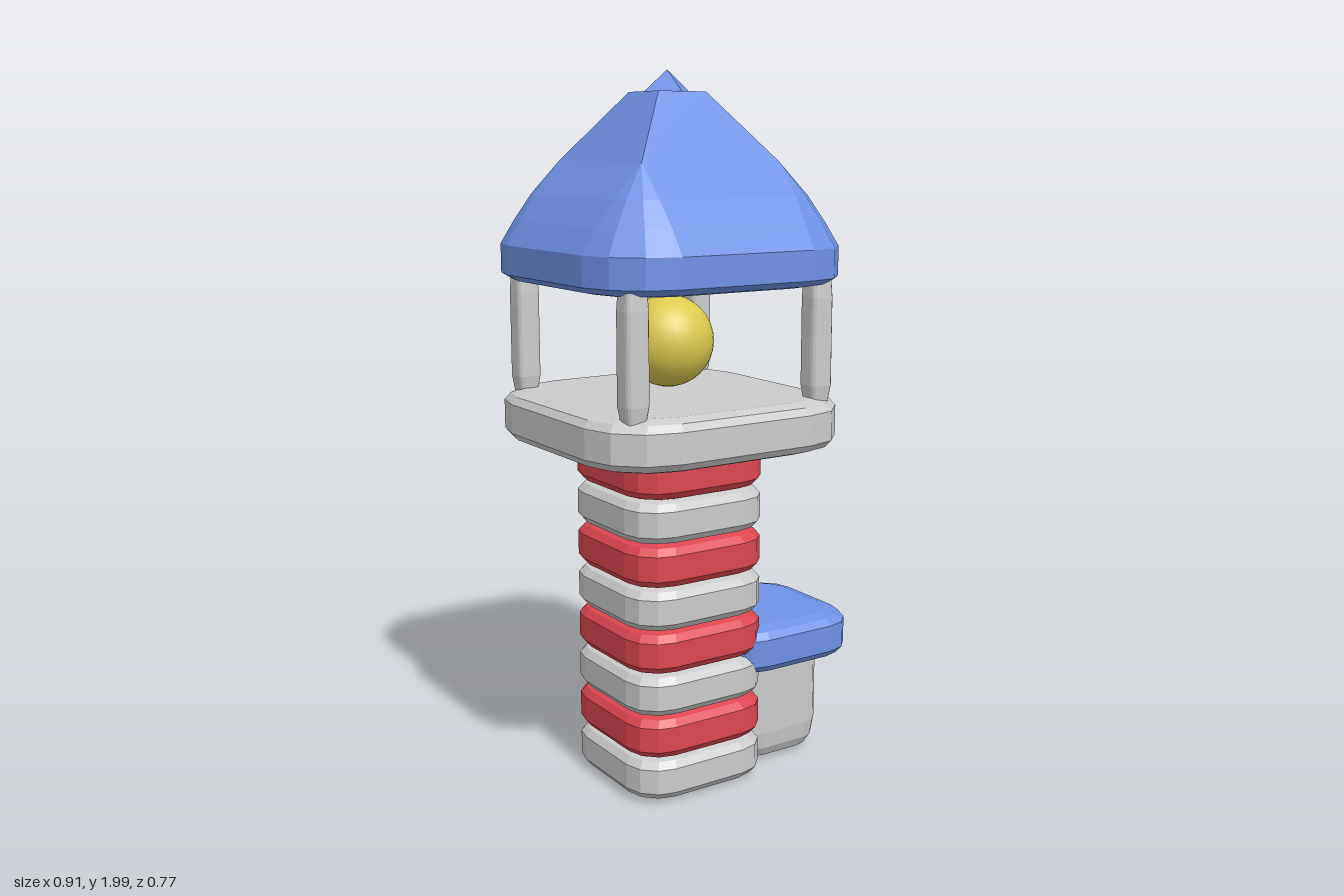
import * as THREE from 'three';

const material = (color) => new THREE.MeshStandardMaterial({ color, flatShading: true });
const grey = material(0xcccccc);
const red = material(0xdc4650);
const blue = material(0x6e92e6);
const yellow = new THREE.MeshStandardMaterial({ color: 0xdccb4e });

// Square outline with corners rounded in three steps; corner is a fraction of half
function ringPoints(half, corner) {
  const r = half * corner, c = half - r, points = [];
  for (let q = 0; q < 4; q++) {
    const [sx, sz] = [[1, -1], [-1, -1], [-1, 1], [1, 1]][q];
    for (let k = 0; k < 4; k++) {
      const a = (q + k / 3) * Math.PI / 2;
      points.push([sx * c + r * Math.cos(a), sz * c - r * Math.sin(a)]);
    }
  }
  return points;
}

// Closed loft through rings of [y, half width, corner]
function loft(name, rings, mat, x = 0) {
  const pos = [];
  const loops = rings.map(([y, half, corner = 0.47]) =>
    ringPoints(half, corner).map(([px, pz]) => [px, y, pz]));
  const n = loops[0].length, last = loops.length - 1;
  for (let i = 0; i < n; i++) {
    const j = (i + 1) % n;
    for (let k = 0; k < last; k++) {
      const a = loops[k], b = loops[k + 1];
      pos.push(...a[i], ...a[j], ...b[j], ...a[i], ...b[j], ...b[i]);
    }
    pos.push(0, rings[0][0], 0, ...loops[0][j], ...loops[0][i]);
    pos.push(0, rings[last][0], 0, ...loops[last][i], ...loops[last][j]);
  }
  const geo = new THREE.BufferGeometry();
  geo.setAttribute('position', new THREE.Float32BufferAttribute(pos, 3));
  geo.computeVertexNormals();
  const mesh = new THREE.Mesh(geo, mat);
  mesh.name = name;
  mesh.position.x = x;
  return mesh;
}

// Slab with softened top and bottom edges
function slab(name, y0, y1, half, mat, x, bevel = 0.03) {
  return loft(name, [
    [y0, half - bevel * 1.6],
    [y0 + bevel * 0.35, half - bevel * 0.5],
    [y0 + bevel, half],
    [y1 - bevel, half],
    [y1 - bevel * 0.35, half - bevel * 0.5],
    [y1, half - bevel * 1.6],
  ], mat, x);
}

export function createModel() {
  const model = new THREE.Group();
  model.name = 'lighthouse';
  const cx = -0.075;

  // Striped tower
  const tower = new THREE.Group();
  tower.name = 'tower';
  for (let i = 0; i < 8; i++) {
    const y = 0.007 + i * 0.1225;
    tower.add(slab(i % 2 ? 'redBand' : 'greyBand', y, y + 0.13, 0.215, i % 2 ? red : grey, cx));
  }
  model.add(tower);

  // Gallery platform, posts and lamp
  model.add(slab('platform', 0.985, 1.127, 0.385, grey, cx, 0.03));
  for (const sx of [-1, 1]) for (const sz of [-1, 1]) {
    const post = loft('post', [
      [1.1, 0.025], [1.16, 0.034], [1.4, 0.034], [1.46, 0.03],
    ], grey, cx + sx * 0.292);
    post.position.z = sz * 0.292;
    model.add(post);
  }
  const lamp = new THREE.Mesh(new THREE.SphereGeometry(0.128, 32, 16), yellow);
  lamp.name = 'lamp';
  lamp.position.set(cx, 1.27, 0);
  model.add(lamp);

  // Roof, changing from a rounded eave to a square peak
  model.add(loft('roof', [
    [1.432, 0.33], [1.438, 0.36], [1.455, 0.385], [1.535, 0.385],
    [1.6, 0.345, 0.4], [1.67, 0.295, 0.28], [1.76, 0.215, 0], [1.942, 0.075, 0],
  ], blue, cx));
  const tip = new THREE.Mesh(new THREE.ConeGeometry(0.075, 0.06, 4), blue);
  tip.name = 'roofTip';
  tip.position.set(cx, 1.97, 0);
  model.add(tip);

  // Side hut
  model.add(loft('hutWalls', [
    [0.008, 0.085], [0.02, 0.118], [0.05, 0.135], [0.1, 0.142], [0.33, 0.142],
  ], grey, 0.245));
  model.add(slab('hutRoof', 0.31, 0.448, 0.215, blue, 0.24));

  return model;
}
